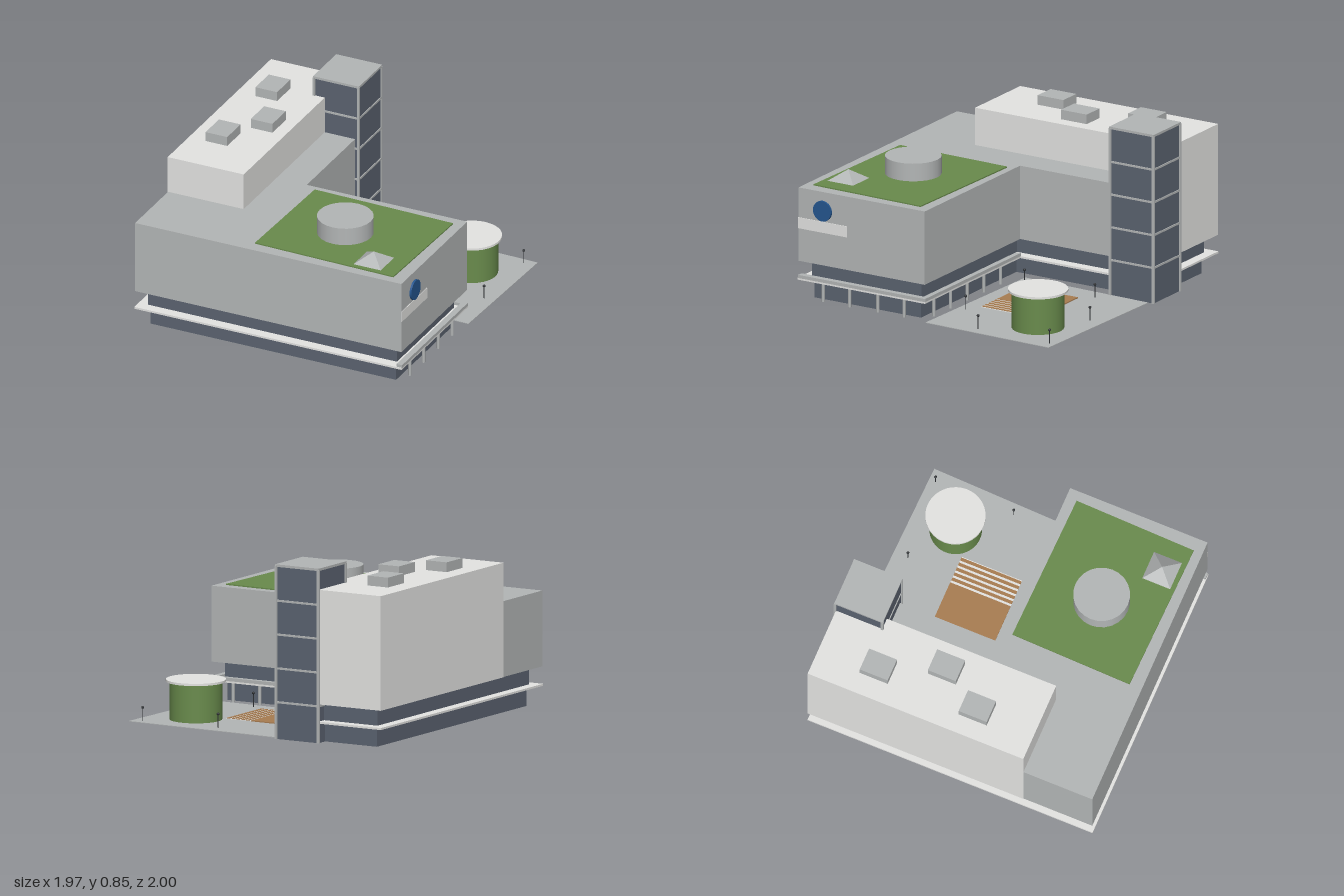
import * as THREE from 'three';

const mat = (name, color) => {
  const m = new THREE.MeshStandardMaterial({ color });
  m.name = name;
  return m;
};

export function createModel() {
  const wall = mat('wall grey', 0xb3b6b6);
  const light = mat('light panel', 0xe4e4e2);
  const glass = mat('slate glass', 0x5b6370);
  const green = mat('grass green', 0x698b4c);
  const wood = mat('wood', 0xa87c50);
  const blue = mat('sign blue', 0x24568f);
  const dark = mat('dark metal', 0x303336);

  const model = new THREE.Group();
  model.name = 'building';
  // the whole site stands turned on the plot; inside it all walls are axis-aligned
  const site = new THREE.Group();
  site.name = 'site';
  site.rotation.y = -0.511;
  model.add(site);

  const add = (name, geometry, material, x = 0, y = 0, z = 0, parent = site) => {
    const mesh = new THREE.Mesh(geometry, material);
    mesh.name = name;
    mesh.position.set(x, y, z);
    parent.add(mesh);
    return mesh;
  };
  // box from its limits
  const box = (name, m, x0, x1, y0, y1, z0, z1) =>
    add(name, new THREE.BoxGeometry(x1 - x0, y1 - y0, z1 - z0), m, (x0 + x1) / 2, (y0 + y1) / 2, (z0 + z1) / 2);
  const cylinder = (name, m, r, y0, y1, x, z, sides = 24, parent = site) =>
    add(name, new THREE.CylinderGeometry(r, r, y1 - y0, sides), m, x, (y0 + y1) / 2, z, parent);
  // L-shaped storey, inset from the outer walls
  const storey = (name, m, i, y0, y1) => {
    const pts = [[-0.715 + i, 0.739 - i], [0.711 - i, 0.739 - i], [0.711 - i, 0.022 + i],
      [-0.148 - i, 0.022 + i], [-0.148 - i, -0.742 + i], [-0.715 + i, -0.742 + i]];
    const shape = new THREE.Shape(pts.map(([x, z]) => new THREE.Vector2(x, -z)));
    const g = new THREE.ExtrudeGeometry(shape, { depth: y1 - y0, bevelEnabled: false });
    g.rotateX(-Math.PI / 2);
    return add(name, g, m, 0, y0, 0);
  };

  // main volumes
  storey('groundFloor', glass, 0.056, 0, 0.1);
  storey('glassBand', glass, 0.047, 0.1, 0.192);
  storey('canopy', light, -0.003, 0.095, 0.105);
  storey('upperFloors', wall, 0, 0.19, 0.56);
  box('penthouse', light, -0.717, -0.31, 0.189, 0.748, -0.745, 0.38);

  // beams and columns under the overhang
  box('sideBeam', wall, 0.685, 0.715, 0.104, 0.12, 0.019, 0.739);
  box('courtBeam', wall, -0.148, 0.711, 0.104, 0.12, 0.018, 0.044);
  for (const z of [0.61, 0.46, 0.3, 0.15]) cylinder('sideColumn', wall, 0.008, 0, 0.1, 0.693, z, 10);
  for (const x of [0.6, 0.45, 0.3, 0.15, 0]) cylinder('courtColumn', wall, 0.008, 0, 0.1, x, 0.04, 10);

  // stair tower: glass shaft with frame
  const tx0 = -0.367, tx1 = -0.129, tz0 = -0.748, tz1 = -0.503, f = 0.004;
  box('towerShaft', glass, tx0, tx1, 0, 0.845, tz0, tz1);
  box('towerRoof', wall, tx0 - f, tx1 + f, 0.84, 0.852, tz0 - f, tz1 + f);
  for (const y of [0.18, 0.345, 0.51, 0.675])
    box('towerBand', wall, tx0 - f, tx1 + f, y - 0.005, y + 0.005, tz0 - f, tz1 + f);
  for (const x of [tx0, tx1]) for (const z of [tz0, tz1])
    box('towerPost', wall, x - 0.006, x + 0.006, 0, 0.845, z - 0.006, z + 0.006);

  // roof units on the penthouse
  for (const [x, z] of [[-0.558, -0.443], [-0.434, -0.14], [-0.569, 0.078]])
    box('roofUnit', wall, x - 0.058, x + 0.058, 0.745, 0.796, z - 0.073, z + 0.073);

  // roof garden with drum and pyramid skylight
  const lawn = box('roofLawn', green, -0.096, 0.654, 0.558, 0.566, 0.067, 0.685);
  lawn.rotation.y = -0.025;
  cylinder('roofDrum', wall, 0.137, 0.56, 0.655, 0.237, 0.386, 24);
  const pyramid = new THREE.ConeGeometry(0.103, 0.052, 4).toNonIndexed();
  pyramid.rotateY(Math.PI / 4);
  pyramid.computeVertexNormals();
  add('skylight', pyramid, wall, 0.492, 0.592, 0.594);

  // signs on the side wall
  const disc = new THREE.CylinderGeometry(0.051, 0.051, 0.014, 28);
  disc.rotateZ(-Math.PI / 2);
  add('roundSign', disc, blue, 0.714, 0.465, 0.6);
  box('signPlate', light, 0.706, 0.714, 0.355, 0.41, 0.463, 0.739);

  // courtyard paving, slightly turned against the walls
  const paving = add('paving', new THREE.BoxGeometry(0.858, 0.003, 0.712), wall, 0.431, 0.0015, -0.164, model);
  paving.rotation.y = -0.54;

  // timber deck and slatted steps, almost flush with the paving
  box('deck', wood, 0, 0.228, 0.002, 0.008, -0.4, -0.085);
  box('stepBed', light, 0.228, 0.37, 0.002, 0.006, -0.4, -0.085);
  for (let i = 0; i < 5; i++) {
    const x = 0.24 + i * 0.0275;
    box('stepSlat', wood, x, x + 0.0155, 0.002, 0.008, -0.4, -0.085);
  }

  // round green pavilion
  cylinder('pavilionWall', green, 0.127, 0.002, 0.19, 0.662, -0.181, 32, model);
  cylinder('pavilionRoof', light, 0.145, 0.188, 0.199, 0.662, -0.182, 40, model);

  // courtyard lamps
  for (const [x, z] of [[0.18, -0.43], [0.545, -0.425], [0.915, -0.25], [0.705, 0.105], [0.4, 0.18], [-0.03, -0.08]]) {
    cylinder('lampPole', dark, 0.002, 0.003, 0.07, x, z, 6, model);
    add('lampHead', new THREE.SphereGeometry(0.007, 10, 8), dark, x, 0.07, z, model);
  }
  return model;
}
